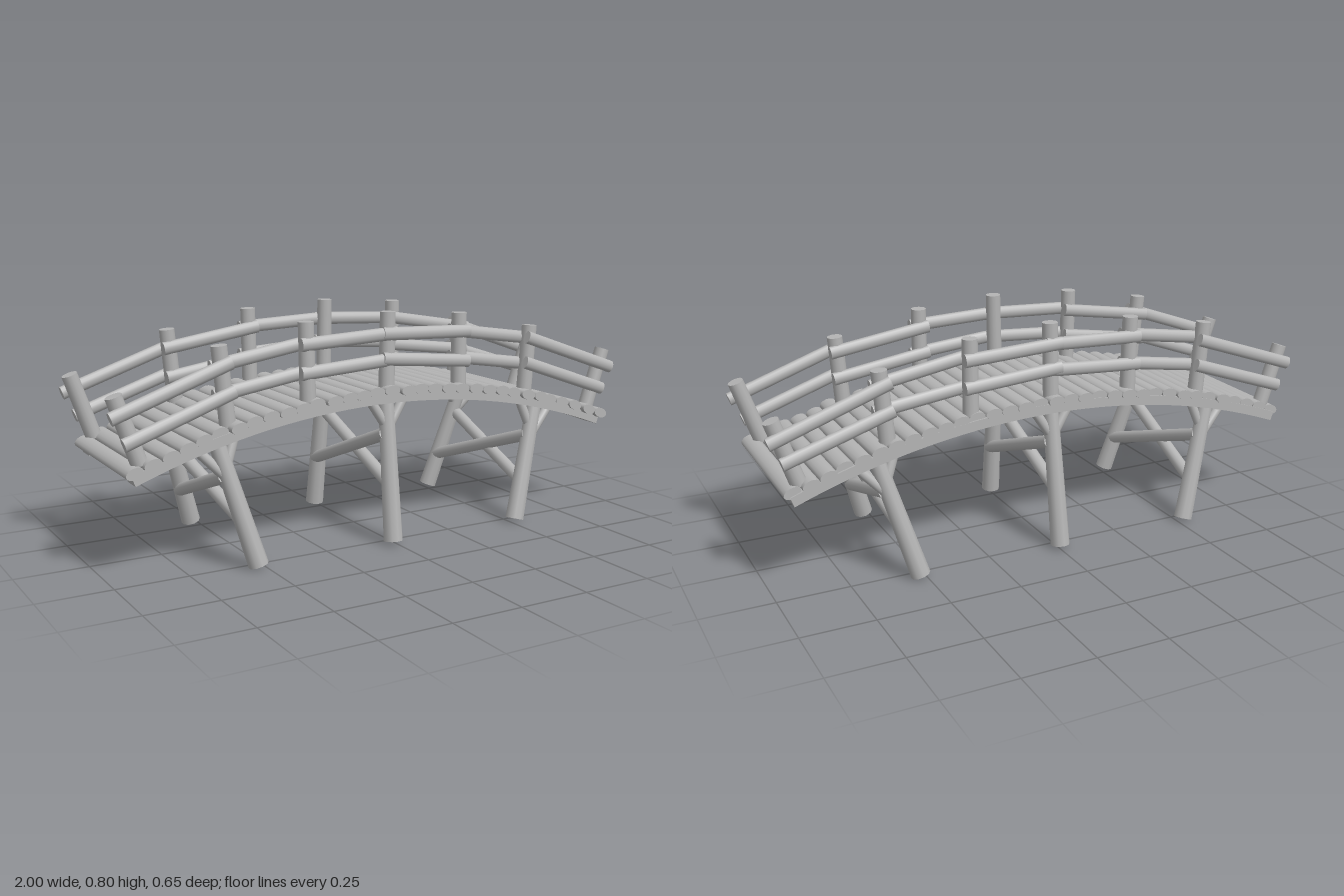
import * as THREE from 'three';

const wood = new THREE.MeshStandardMaterial({ color: 0xb4b4b4 });
wood.name = 'grey wood';

const R = 2.61;                                        // radius of the deck arc
const deckY = (x) => 0.532 - R + Math.sqrt(R * R - x * x);
const slope = (x) => -Math.asin(x / R);
const V = (x, y, z) => new THREE.Vector3(x, y, z);

// Small repeatable variation in -1..1
let seed = 7;
const vary = () => {
  seed = (seed * 16807) % 2147483647;
  return (seed / 2147483647) * 2 - 1;
};

// Log from a to b; flat squashes its local z
function log(name, a, b, rA, rB = rA, flat = 1, sides = 14) {
  const dir = b.clone().sub(a);
  const geo = new THREE.CylinderGeometry(rB, rA, dir.length(), sides);
  geo.scale(1, 1, flat);
  const mesh = new THREE.Mesh(geo, wood);
  mesh.name = name;
  mesh.quaternion.setFromUnitVectors(V(0, 1, 0), dir.normalize());
  mesh.position.copy(a).add(b).multiplyScalar(0.5);
  return mesh;
}

// Curved beam under the planks
function beam(side) {
  const top = [], bottom = [];
  for (let i = 0; i <= 32; i++) {
    const x = -0.935 + (i / 32) * 1.87, s = slope(x);
    const y = deckY(x) - 0.008;
    top.push(new THREE.Vector2(x, y));
    bottom.unshift(new THREE.Vector2(x + Math.sin(s) * 0.034, y - Math.cos(s) * 0.034));
  }
  const geo = new THREE.ExtrudeGeometry(new THREE.Shape([...top, ...bottom]), { depth: 0.07, bevelEnabled: false });
  const mesh = new THREE.Mesh(geo, wood);
  mesh.name = 'deckBeam';
  mesh.position.z = side * 0.228 - 0.035;
  return mesh;
}

export function createModel() {
  const model = new THREE.Group();
  model.name = 'footbridge';

  // Deck planks
  const deck = new THREE.Group();
  deck.name = 'deck';
  const count = 33;
  for (let i = 0; i < count; i++) {
    const x = -0.925 + (i / (count - 1)) * 1.85, y = deckY(x) + vary() * 0.002;
    const plank = log('plank', V(x, y, -0.265 + vary() * 0.01), V(x, y, 0.272 + vary() * 0.014),
      0.03, 0.03, 0.6);
    plank.quaternion.premultiply(new THREE.Quaternion().setFromAxisAngle(V(0, 0, 1), slope(x)));
    deck.add(plank);
  }
  model.add(deck);

  // Post feet and tops, and the heights where the two rails cross them
  const posts = [
    [-0.895, 0.38, -0.97, 0.6], [-0.595, 0.46, -0.62, 0.73], [-0.305, 0.515, -0.31, 0.785],
    [0, 0.53, 0.005, 0.8], [0.3, 0.515, 0.3, 0.78], [0.595, 0.46, 0.615, 0.715], [0.895, 0.38, 0.97, 0.6],
  ];
  const upper = [[-0.965, 0.54], [-0.615, 0.665], [-0.31, 0.715], [0, 0.73], [0.3, 0.715], [0.612, 0.665], [0.965, 0.54]];
  const lower = [[-0.925, 0.46], [-0.605, 0.57], [-0.31, 0.615], [0, 0.64], [0.3, 0.615], [0.605, 0.57], [0.925, 0.465]];
  const outward = [0.25, 0.203, 0.243, 0.246, 0.203, 0.25];

  for (const side of [1, -1]) {
    model.add(beam(side));

    // Railing
    const railing = new THREE.Group();
    railing.name = side > 0 ? 'frontRailing' : 'backRailing';
    for (const [x0, y0, x1, y1] of posts) {
      railing.add(log('post', V(x0, y0, side * 0.226), V(x1, y1, side * 0.224), 0.028, 0.027));
    }
    for (const [name, line] of [['upperRail', upper], ['lowerRail', lower]]) {
      for (let i = 0; i < 6; i++) {
        const z = side * outward[i];
        const a = V(line[i][0], line[i][1], z), b = V(line[i + 1][0], line[i + 1][1], z);
        const over = b.clone().sub(a).normalize().multiplyScalar(0.028);
        a.sub(over);
        b.add(over);
        a.y += vary() * 0.004;
        b.y += vary() * 0.004;
        railing.add(log(name, a, b, 0.023, 0.023, 0.75));
      }
    }
    model.add(railing);
  }

  // Trestles: splayed legs, crossed braces and struts up to the beams
  const trestles = [
    { foot: -0.525, top: -0.645, topY: 0.44, low: 0.135, high: 0.31, struts: [[-0.61, 0.3, -0.715, 0.41], [-0.615, 0.33, -0.57, 0.45]] },
    { foot: -0.008, top: 0, topY: 0.515, low: 0.19, high: 0.38, struts: [[0, 0.395, -0.075, 0.51], [0, 0.395, 0.075, 0.51]] },
    { foot: 0.52, top: 0.645, topY: 0.44, low: 0.135, high: 0.31, struts: [[0.61, 0.3, 0.715, 0.41], [0.615, 0.33, 0.57, 0.45]] },
  ];
  for (const { foot, top, topY, low, high, struts } of trestles) {
    const trestle = new THREE.Group();
    trestle.name = 'trestle';
    const legX = (y) => foot + (top - foot) * (y / topY);
    const legZ = (y) => 0.29 - 0.135 * y;
    for (const side of [1, -1]) {
      trestle.add(log('leg', V(foot, 0.008, side * legZ(0)), V(top, topY, side * legZ(topY)), 0.034, 0.027, 1, 10));
      trestle.add(log('crossBrace',
        V(legX(low) + side * 0.01, low, side * legZ(low)),
        V(legX(high) + side * 0.01, high, -side * legZ(high)), 0.023, 0.023));
      for (const [x0, y0, x1, y1] of struts) {
        trestle.add(log('strut', V(x0, y0, side * legZ(y0)), V(x1, y1, side * 0.228), 0.017));
      }
    }
    model.add(trestle);
  }
  return model;
}
